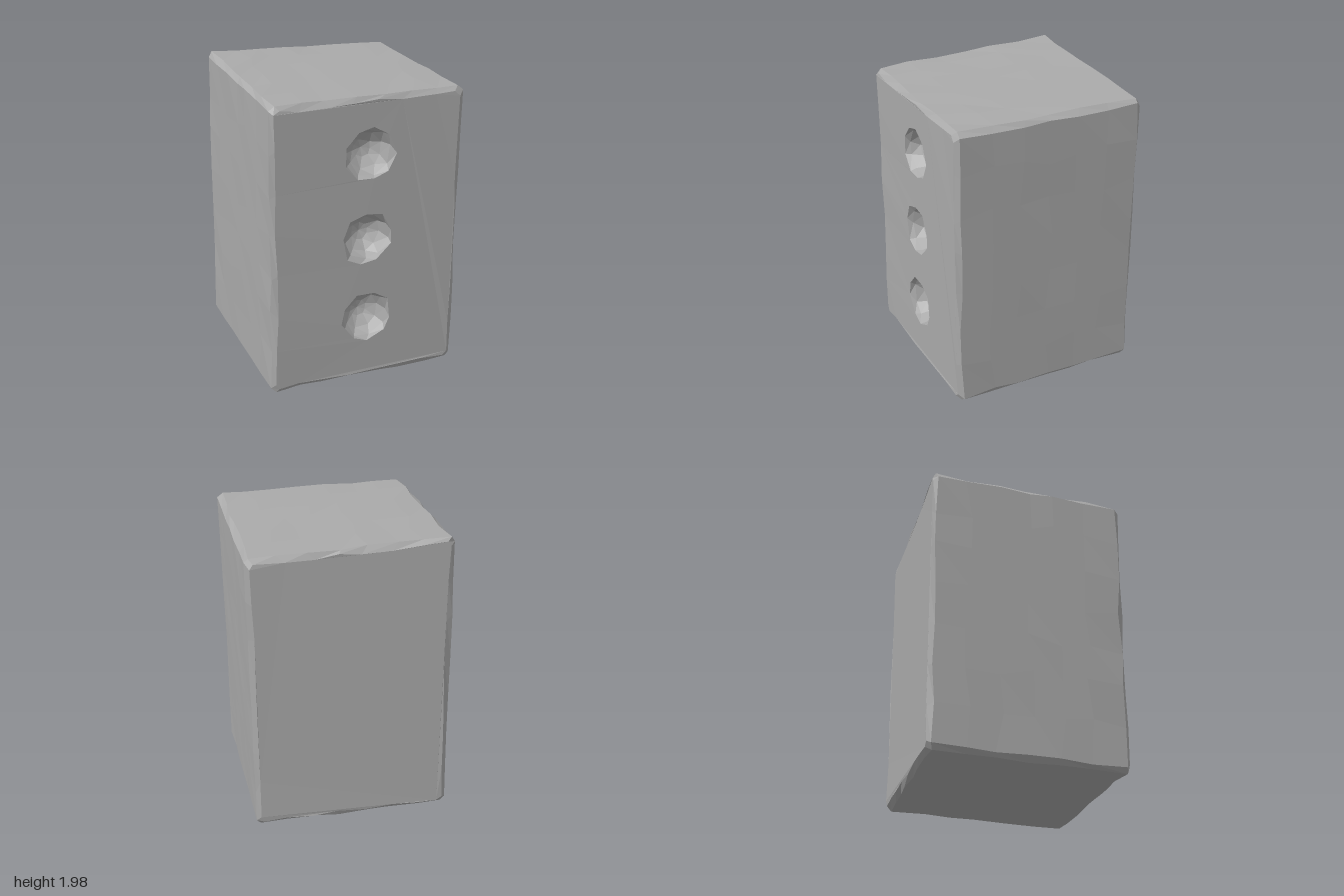
import * as THREE from 'three';

export function createModel() {
  const group = new THREE.Group();
  const stone = new THREE.MeshStandardMaterial({ color: 0xaaaaaa, flatShading: true });
  stone.name = 'grey stone';

  // small seeded noise
  let seed = 11;
  const rnd = () => {
    seed = (seed * 16807) % 2147483647;
    return seed / 2147483647;
  };
  const jitter = (a) => (rnd() * 2 - 1) * a;

  const A = 0.655, B = 0.975, CHAMFER = 0.025, STEPS = 7;
  const lerp = THREE.MathUtils.lerp;

  // skew of the straight block (x in -A..A, y in -B..B, z in -A..A) into the crooked one
  function warp(p) {
    const u = (p.x / A + 1) / 2, v = (p.y / B + 1) / 2, w = (p.z / A + 1) / 2;
    const top = lerp(lerp(2.0, 1.955, u), 1.945, w);
    const bottom = lerp(0.038, 0.008, w);
    return new THREE.Vector3(
      lerp(lerp(-0.668, -0.653, v), lerp(0.638, 0.665, v), u),
      lerp(bottom, top, v),
      lerp(-0.652, lerp(0.652, 0.632, u), w)
    );
  }

  // rectangular cross-section with clipped corners, counter-clockwise from the front
  function section(z, inset, rough, zRough) {
    const a = A - inset, b = B - inset, pts = [];
    const corners = [[-a, -b], [a, -b], [a, b], [-a, b]];
    corners.forEach(([x0, y0], k) => {
      const [x1, y1] = corners[(k + 1) % 4];
      const len = Math.hypot(x1 - x0, y1 - y0);
      const dx = (x1 - x0) / len, dy = (y1 - y0) / len;
      for (let i = 0; i <= STEPS; i++) {
        const end = i === 0 || i === STEPS;
        const along = lerp(CHAMFER, len - CHAMFER, i / STEPS) +
          (end ? (i ? -1 : 1) * rnd() * 0.02 : jitter(0.04));
        const inward = end ? rnd() * 0.008 : rnd() * rough;
        pts.push(new THREE.Vector3(
          x0 + dx * along - dy * inward, y0 + dy * along + dx * inward, z + jitter(zRough)));
      }
    });
    return pts;
  }

  // irregular ring for the bowl-shaped hollows
  function ring(x, y, z, r, rough, turn) {
    return Array.from({ length: 9 }, (_, i) => {
      const t = (i / 9) * Math.PI * 2 + turn + jitter(0.1);
      const q = r + jitter(rough);
      return new THREE.Vector3(x + Math.cos(t) * q, y + Math.sin(t) * q, z);
    });
  }

  function mesh(name, triangles) {
    const geo = new THREE.BufferGeometry().setFromPoints(triangles.map(warp));
    geo.computeVertexNormals();
    const m = new THREE.Mesh(geo, stone);
    m.name = name;
    group.add(m);
  }

  // wall between two loops, facing outward (or inward for hollows)
  function strip(out, f, b, inward) {
    f.forEach((p, i) => {
      const j = (i + 1) % f.length;
      if (inward) out.push(p, f[j], b[i], f[j], b[j], b[i]);
      else out.push(p, b[i], f[j], f[j], b[i], b[j]);
    });
  }

  // block sides with worn front and back edges
  const loops = [
    section(0.65, 0.026, 0.022, 0.004),
    section(0.622, 0, 0.01, 0.012),
    ...[0.4, 0.2, 0, -0.2, -0.4].map((z) => section(z, 0, 0.004, 0.03)),
    section(-0.622, 0, 0.01, 0.012),
    section(-0.65, 0.026, 0.022, 0.004),
  ];
  const sides = [];
  for (let i = 0; i + 1 < loops.length; i++) strip(sides, loops[i], loops[i + 1], false);
  mesh('blockSides', sides);

  // three hollows down the front
  const rims = [];
  [1.57, 1.0, 0.44].forEach((height, n) => {
    const y = height - 0.977, x = 0.005;
    const rings = [[0, 0.178, 0.014], [0.035, 0.157, 0.006], [0.095, 0.122, 0.008], [0.14, 0.06, 0.008]]
      .map(([depth, r, rough], k) => ring(x, y, 0.65 - depth, r, rough, n * 0.3 + k * 0.2));
    const bowl = [];
    for (let k = 0; k < 3; k++) strip(bowl, rings[k], rings[k + 1], true);
    const centre = new THREE.Vector3(x, y, 0.495), last = rings[3];
    last.forEach((p, i) => bowl.push(p, last[(i + 1) % last.length], centre));
    mesh('hollow' + (n + 1), bowl);
    rims.push(rings[0].slice().reverse());
  });

  // front face, cut out around the hollows, and plain back face
  function cap(name, outline, holes, flip) {
    const all = outline.concat(...holes), tris = [];
    THREE.ShapeUtils.triangulateShape(outline.slice(), holes).forEach(([a, b, c]) => {
      tris.push(all[a], all[flip ? c : b], all[flip ? b : c]);
    });
    mesh(name, tris);
  }
  cap('frontFace', loops[0], rims, false);
  cap('backFace', loops[loops.length - 1], [], true);

  return group;
}
